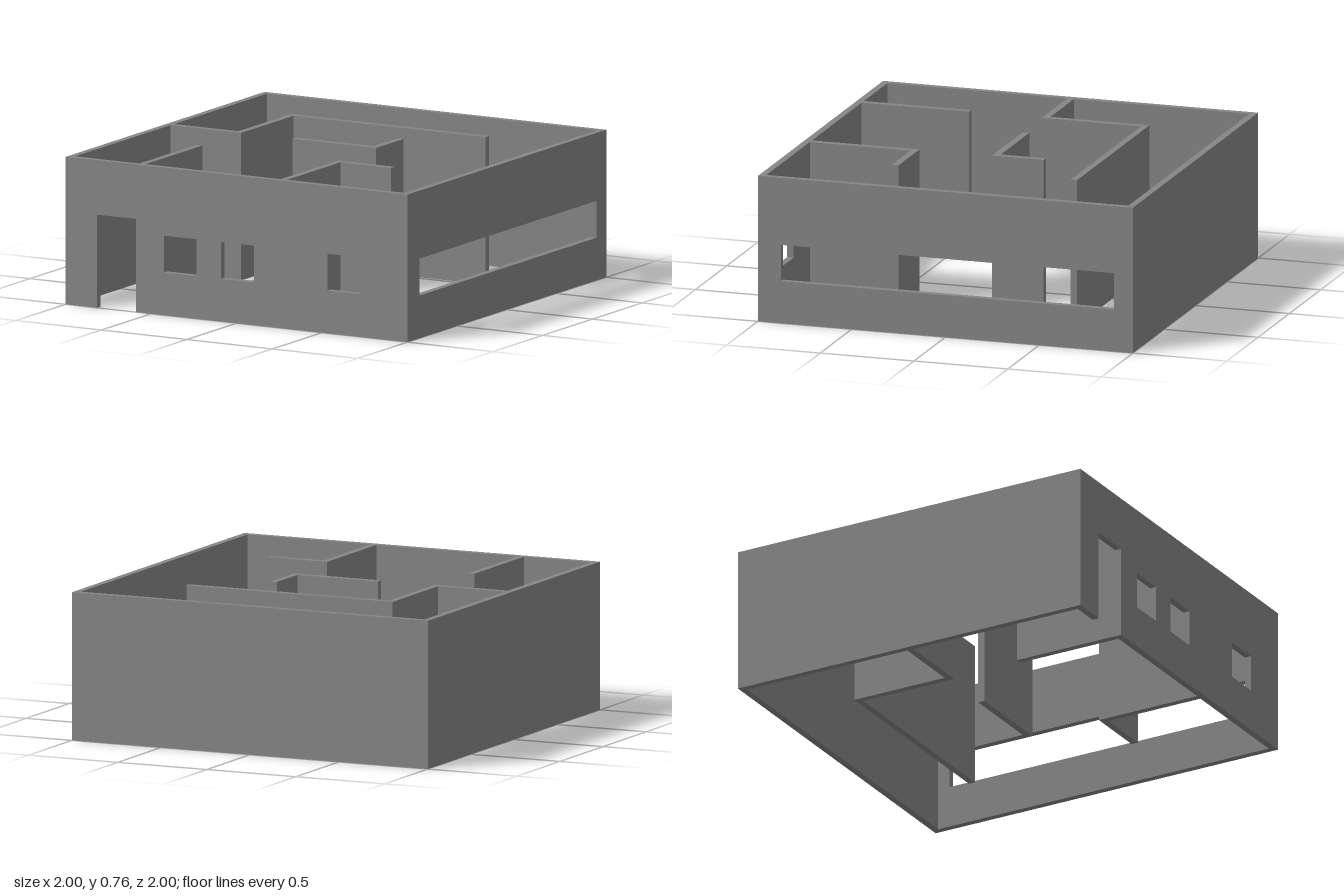
import * as THREE from 'three';

const H = 0.76; // wall height
const T = 0.035; // wall thickness
const IN = 1 - T; // inner face of the outer walls

const material = new THREE.MeshStandardMaterial({ color: 0x868686, flatShading: true, side: THREE.DoubleSide });

const outline = (points) => new THREE.Shape(points.map(([x, y]) => new THREE.Vector2(x, y)));

function addMesh(group, name, geometry) {
  const mesh = new THREE.Mesh(geometry, material);
  mesh.name = name;
  group.add(mesh);
  return mesh;
}

// Upright wall: elevation outline with rectangular windows [x0, x1, y0, y1]
function panel(points, windows = []) {
  const shape = outline(points);
  for (const [x0, x1, y0, y1] of windows) {
    shape.holes.push(outline([[x0, y0], [x0, y1], [x1, y1], [x1, y0]]));
  }
  return new THREE.ExtrudeGeometry(shape, { depth: T, bevelEnabled: false });
}

// Partition: floor plan outline in [x, z], raised to full height
function partition(points) {
  const shape = outline(points.map(([x, z]) => [x, -z]));
  return new THREE.ExtrudeGeometry(shape, { depth: H, bevelEnabled: false }).rotateX(-Math.PI / 2);
}

export function createModel() {
  const house = new THREE.Group();
  house.name = 'openHouse';

  // Front wall with doorway and three windows
  const sill = 0.22, head = 0.41;
  const door = { x0: -0.815, x1: -0.587, top: 0.48 };
  addMesh(house, 'frontWall', panel(
    [[-1, 0], [door.x0, 0], [door.x0, door.top], [door.x1, door.top], [door.x1, 0], [1, 0], [1, H], [-1, H]],
    [[-0.425, -0.233], [-0.09, 0.102], [0.532, 0.723]].map(([a, b]) => [a, b, sill, head])
  )).position.z = IN;

  // Plain back wall
  addMesh(house, 'backWall', panel([[-1, 0], [1, 0], [1, H], [-1, H]])).position.z = -1;

  // Side walls, one with a long strip window
  const side = [[-IN, 0], [IN, 0], [IN, H], [-IN, H]];
  addMesh(house, 'windowSideWall', panel(side, [[-0.877, 0.9, sill, head]]).rotateY(Math.PI / 2)).position.x = IN;
  addMesh(house, 'plainSideWall', panel(side).rotateY(Math.PI / 2)).position.x = -1;

  // Stepped partition from the plain side wall
  addMesh(house, 'steppedPartition', partition([
    [-IN, -0.03], [-0.588, -0.03], [-0.588, -0.558], [0.571, -0.558], [0.571, -0.524],
    [-0.553, -0.524], [-0.553, 0.006], [-IN, 0.006],
  ]));

  // Free-standing corner in the middle
  addMesh(house, 'middlePartition', partition([
    [-0.25, -0.03], [0.202, -0.03], [0.202, -0.27], [0.238, -0.27], [0.238, 0.006], [-0.25, 0.006],
  ]));

  // Entrance partition
  addMesh(house, 'entrancePartition', partition([
    [-0.588, 0.392], [-0.553, 0.392], [-0.553, IN], [-0.588, IN],
  ]));

  // Front room corner
  addMesh(house, 'frontRoomPartition', partition([
    [0.24, 0.392], [0.571, 0.392], [0.571, 0.428], [0.275, 0.428], [0.275, IN], [0.24, IN],
  ]));

  return house;
}
